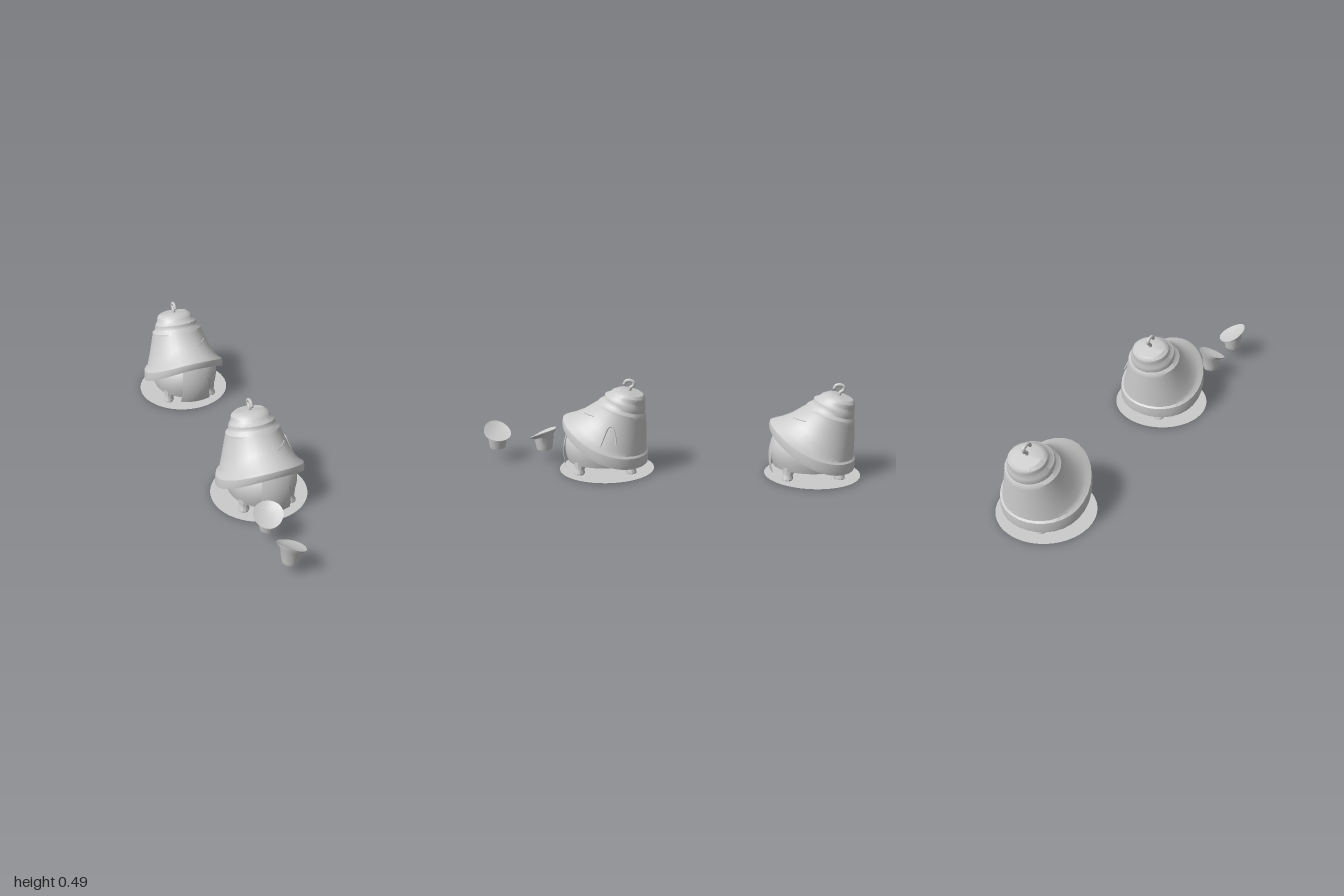
import * as THREE from 'three';
import { toCreasedNormals } from 'three/addons/utils/BufferGeometryUtils.js';

const material = new THREE.MeshStandardMaterial({ color: 0xcccccc });
const thin = new THREE.MeshStandardMaterial({ color: 0xcccccc, side: THREE.DoubleSide });

function add(group, name, geometry, mat = material) {
  const mesh = new THREE.Mesh(geometry, mat);
  mesh.name = name;
  group.add(mesh);
  return mesh;
}

// Skin over tilted oval rings [rx, rz, centreZ, height, tilt, bow];
// tilt raises the front, bow raises front and back against the sides.
function loft(rings, seg = 32) {
  const pos = [], index = [];
  for (const [rx, rz, cz, h, tilt = 0, bow = 0] of rings) {
    for (let i = 0; i < seg; i++) {
      const a = (i / seg) * Math.PI * 2;
      pos.push(rx * Math.sin(a), h + tilt * Math.cos(a) + bow * Math.cos(2 * a), cz + rz * Math.cos(a));
    }
  }
  for (let j = 0; j < rings.length - 1; j++) {
    for (let i = 0; i < seg; i++) {
      const a = j * seg + i, b = j * seg + ((i + 1) % seg);
      if (rings[j][0] > 0) index.push(a, b, b + seg);
      if (rings[j + 1][0] > 0) index.push(a, b + seg, a + seg);
      else if (rings[j][0] > 0) index.splice(-3, 3, a, b, b + seg);
    }
  }
  const g = new THREE.BufferGeometry();
  g.setAttribute('position', new THREE.Float32BufferAttribute(pos, 3));
  g.setIndex(index);
  return toCreasedNormals(g, 0.6);
}

function tube(points, radius, seg = 24) {
  const curve = new THREE.CatmullRomCurve3(points.map(p => new THREE.Vector3(...p)));
  return new THREE.TubeGeometry(curve, seg, radius, 8);
}

// Hollow tilted bell: inside, lip, flared skirt, stepped rings, cap
const shellRings = [
  [0, 0, 0.24, 0.30],
  [0.15, 0.13, 0.285, 0.235, 0.06, 0.02],
  [0.205, 0.205, 0.3325, 0.128, 0.1, 0.022],
  [0.225, 0.222, 0.3325, 0.122, 0.1, 0.025],
  [0.226, 0.224, 0.332, 0.145, 0.098, 0.023],
  [0.222, 0.222, 0.33, 0.172, 0.092, 0.02],
  [0.205, 0.205, 0.32, 0.182, 0.093, 0.02],
  [0.194, 0.188, 0.304, 0.197, 0.085, 0.022],
  [0.172, 0.163, 0.278, 0.245, 0.06, 0.02],
  [0.142, 0.125, 0.243, 0.325, 0.042, 0.003],
  [0.14, 0.122, 0.24, 0.338, 0.04],
  [0.122, 0.108, 0.233, 0.352, 0.038],
  [0.119, 0.106, 0.227, 0.362, 0.035],
  [0.117, 0.104, 0.225, 0.377, 0.034],
  [0.102, 0.09, 0.214, 0.39, 0.03],
  [0.1, 0.088, 0.208, 0.4, 0.027],
  [0.097, 0.085, 0.205, 0.41, 0.022],
  [0.078, 0.066, 0.197, 0.423, 0.018],
  [0, 0, 0.195, 0.426],
];

// Curved front panel, widening towards the ground
function panelGeometry() {
  const g = new THREE.PlaneGeometry(1, 1, 8, 10), p = g.attributes.position;
  for (let i = 0; i < p.count; i++) {
    const t = p.getY(i) + 0.5;
    const x = p.getX(i) * (0.172 - 0.044 * t) - 0.005;
    const y = 0.03 + 0.205 * t - p.getX(i) * 0.01 * (1 - t);
    p.setXYZ(i, x, y, 0.555 - 1.9 * (y - 0.1) ** 2 - 2.5 * x * x);
  }
  g.computeVertexNormals();
  return g;
}

// Stubby leg that leans outwards to its foot
function addLeg(group, x, z) {
  const leanX = Math.sign(x) * 0.015, leanZ = z > 0.3 ? 0.012 : -0.012;
  const profile = [[0, 0], [0.026, 0], [0.029, 0.012], [0.024, 0.03], [0.034, 0.06], [0.036, 0.085], [0, 0.085]];
  const g = new THREE.LatheGeometry(profile.map(([r, y]) => new THREE.Vector2(r, y)), 10);
  const p = g.attributes.position;
  for (let i = 0; i < p.count; i++) {
    const k = 1 - p.getY(i) / 0.085;
    p.setX(i, p.getX(i) + leanX * k);
    p.setZ(i, p.getZ(i) + leanZ * k);
  }
  add(group, 'leg', toCreasedNormals(g, 0.6)).position.set(x, 0, z);
}

function createBell(name) {
  const bell = new THREE.Group();
  bell.name = name;
  add(bell, 'shell', loft(shellRings));

  // Rounded belly with a flat underside
  const profile = [new THREE.Vector2(0, -0.075)];
  for (let i = 0; i <= 12; i++) {
    const a = THREE.MathUtils.lerp(-0.385, Math.PI / 2, i / 12);
    profile.push(new THREE.Vector2(0.2 * Math.cos(a), 0.2 * Math.sin(a) * (a > 0 ? 0.75 : 1)));
  }
  const belly = add(bell, 'belly', toCreasedNormals(new THREE.LatheGeometry(profile, 32), 0.6));
  belly.position.set(0, 0.13, 0.345);
  belly.scale.x = 0.91;

  add(bell, 'frontPanel', panelGeometry(), thin);
  for (const [x, z] of [[-0.118, 0.425], [0.103, 0.445], [-0.055, 0.2], [0.06, 0.2]]) addLeg(bell, x, z);

  // Hook with a rounded tip
  const tip = [0, 0.464, 0.229];
  add(bell, 'hook', tube([[0, 0.415, 0.203], [0, 0.44, 0.2], [0, 0.456, 0.182], [0, 0.472, 0.18],
    [0, 0.482, 0.2], [0, 0.478, 0.22], tip], 0.009));
  add(bell, 'hookTip', new THREE.SphereGeometry(0.009, 10, 8)).position.set(...tip);

  // Thin slit mark on the upper front
  add(bell, 'slit', tube([[0.05, 0.318, 0.433], [0.083, 0.318, 0.408], [0.115, 0.317, 0.37]], 0.003));

  // Flat ground disc
  const disc = add(bell, 'groundDisc', new THREE.CircleGeometry(0.249, 48), thin);
  disc.rotation.x = -Math.PI / 2;
  disc.position.set(0, 0.004, 0.326);
  return bell;
}

// Small cup with a wide slanted brim; turn points the raised side
function createCup(name, z, turn, tilt, bow) {
  const cup = new THREE.Group();
  cup.name = name;
  add(cup, 'cupBody', loft([
    [0, 0, 0, 0.065],
    [0.041, 0.041, 0, 0.065],
    [0.045, 0.045, 0, 0.085],
    [0.052, 0.052, 0, 0.135, tilt * 0.6, bow * 0.5],
    [0.073, 0.07, -0.005, 0.153, tilt, bow],
    [0.073, 0.07, -0.005, 0.156, tilt, bow],
    [0.045, 0.045, 0, 0.149, tilt * 0.6, bow * 0.4],
    [0, 0, 0, 0.146],
  ], 24));
  cup.position.set(-0.11, 0, z);
  cup.rotation.y = turn;
  return cup;
}

export function createModel() {
  const model = new THREE.Group();
  model.name = 'bellSet';

  const front = createBell('frontBell');
  // Raised arch on the side of the front bell
  add(front, 'sideArch', tube([[0.203, 0.155, 0.342], [0.177, 0.22, 0.318], [0.16, 0.275, 0.292],
    [0.158, 0.278, 0.276], [0.171, 0.24, 0.26], [0.19, 0.187, 0.25]], 0.005, 40));
  const back = createBell('backBell');
  back.position.z = -1.077;

  model.add(front, back,
    createCup('frontCup', 0.935, -1.0, 0.038, 0.004),
    createCup('rearCup', 0.68, Math.PI - 0.3, 0.03, -0.004));
  return model;
}
